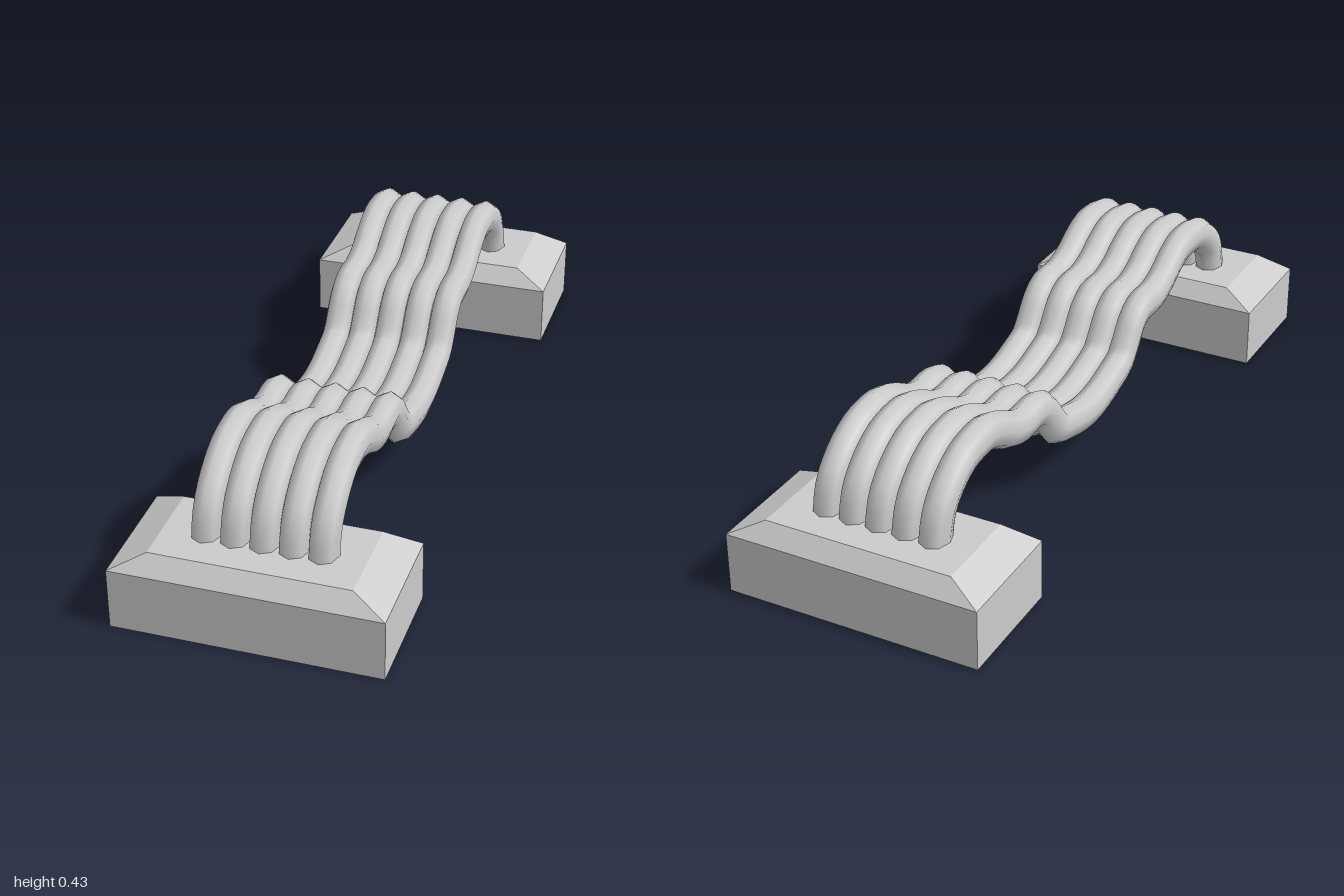
import * as THREE from 'three';

const grey = new THREE.MeshStandardMaterial({ color: 0xcccccc });

// Block with four bevelled top edges: the top row of corners is pulled inward
function blockGeometry() {
  const shoulder = 0.168, top = 0.213;
  const box = new THREE.BoxGeometry(0.704, 2, 0.332, 1, 2, 1);
  const p = box.attributes.position;
  for (let i = 0; i < p.count; i++) {
    const level = Math.round(p.getY(i)); // -1 base, 0 shoulder, 1 top
    p.setY(i, level < 0 ? 0 : level > 0 ? top : shoulder);
    if (level > 0) {
      p.setX(i, Math.sign(p.getX(i)) * 0.26);
      p.setZ(i, Math.sign(p.getZ(i)) * 0.124);
    }
  }
  const geometry = box.toNonIndexed();
  geometry.computeVertexNormals();
  return geometry;
}

// Wavy strand, mirrored about the middle, with a slightly narrow oval section
function strandGeometry() {
  const half = [ // [z, y] from the end block to the middle
    [0.84, 0.14], [0.836, 0.21], [0.815, 0.282], [0.765, 0.335], [0.7, 0.37],
    [0.655, 0.378], [0.59, 0.378], [0.533, 0.357], [0.464, 0.32], [0.4, 0.303],
    [0.32, 0.303], [0.277, 0.28], [0.233, 0.225], [0.2, 0.19], [0.142, 0.17],
    [0.06, 0.15],
  ];
  const points = [
    ...half.map(([z, y]) => new THREE.Vector3(0, y, z)),
    new THREE.Vector3(0, 0.145, 0),
    ...half.slice().reverse().map(([z, y]) => new THREE.Vector3(0, y, -z)),
  ];
  const curve = new THREE.CatmullRomCurve3(points);
  return new THREE.TubeGeometry(curve, 80, 0.05, 8).scale(0.8, 1, 1);
}

export function createModel() {
  const model = new THREE.Group();
  model.name = 'ribbonCable';

  // End blocks
  const block = blockGeometry();
  for (const side of [1, -1]) {
    const mesh = new THREE.Mesh(block, grey);
    mesh.name = side > 0 ? 'frontBlock' : 'backBlock';
    mesh.position.z = side * 0.834;
    model.add(mesh);
  }

  // Five strands side by side
  const strands = new THREE.Group();
  strands.name = 'strands';
  const strand = strandGeometry();
  for (let i = -2; i <= 2; i++) {
    const mesh = new THREE.Mesh(strand, grey);
    mesh.name = `strand${i + 3}`;
    mesh.position.x = i * 0.075;
    strands.add(mesh);
  }
  model.add(strands);
  return model;
}
